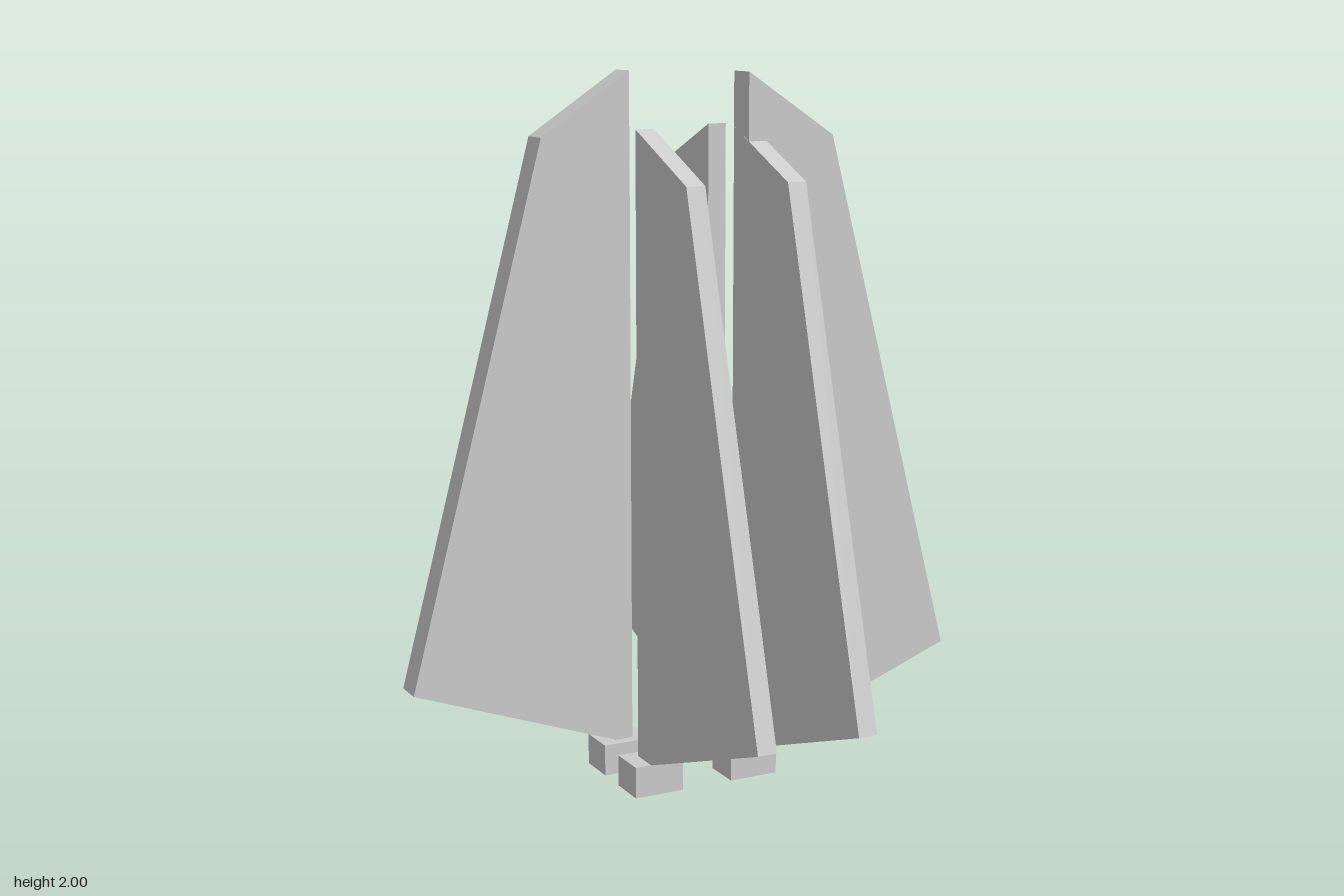
import * as THREE from 'three';

const material = new THREE.MeshStandardMaterial({ color: 0xcccccc, flatShading: true });

// Fin outlines: distance outward from the centre, height
const sideOutline = [[0.123, 0.09], [0.175, 0.09], [0.788, 0.315], [0.387, 1.825], [0.123, 2]];
const endOutline = [[0.075, 0.09], [0.158, 0.09], [0.765, 0.315], [0.37, 1.72], [0.075, 1.85]];

// Flat slab cut from an outline, centred on its own thickness
function slab(outline, thickness) {
  const shape = new THREE.Shape(outline.map(([d, y]) => new THREE.Vector2(d, y)));
  const geometry = new THREE.ExtrudeGeometry(shape, { depth: thickness, bevelEnabled: false });
  return geometry.translate(0, 0, -thickness / 2);
}

export function createModel() {
  const group = new THREE.Group();
  const add = (name, geometry, x, y, z, turn = 0) => {
    const mesh = new THREE.Mesh(geometry, material);
    mesh.name = name;
    mesh.position.set(x, y, z);
    mesh.rotation.y = turn;
    group.add(mesh);
  };

  const sideFin = slab(sideOutline, 0.084);
  const endFin = slab(endOutline, 0.055);
  const foot = new THREE.BoxGeometry(0.147, 0.09, 0.113);

  // One fin to each side, at diagonally opposite corners
  add('leftSideFin', sideFin, 0, 0, 0.115);
  add('rightSideFin', sideFin, 0, 0, -0.117, Math.PI);

  // A pair of fins at the front and the back, with a foot under each corner
  for (const sx of [-1, 1]) {
    for (const sz of [-1, 1]) {
      const place = (sz > 0 ? 'front' : 'back') + (sx > 0 ? 'Left' : 'Right');
      add(place + 'Fin', endFin, sx * 0.15, 0, 0, -sz * Math.PI / 2);
      add(place + 'Foot', foot, sx * 0.151, 0.045, sz * 0.101);
    }
  }
  return group;
}
